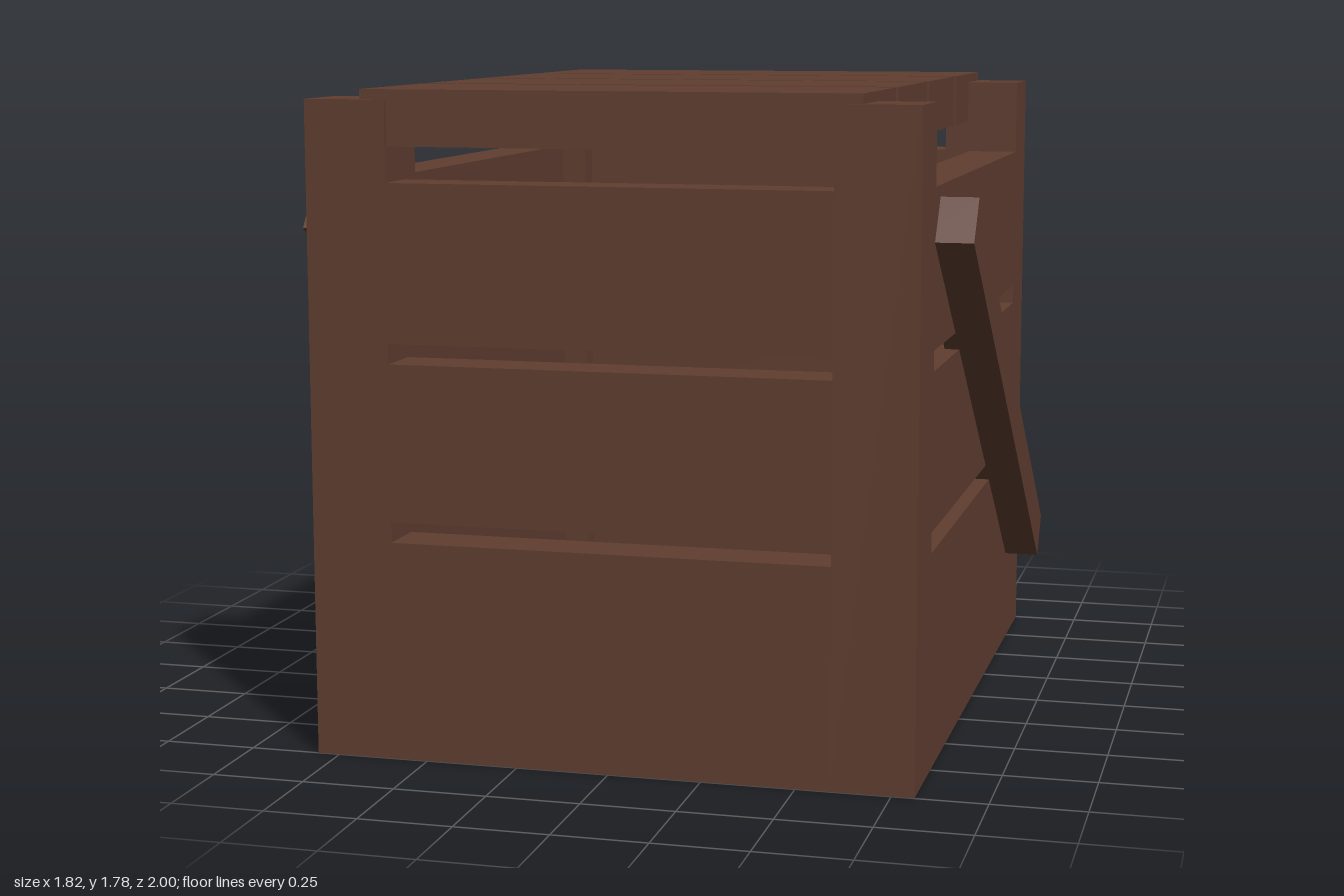
import * as THREE from 'three';

export function createModel() {
  const crate = new THREE.Group();
  crate.name = 'woodenCrate';

  const wood = new THREE.MeshStandardMaterial({ color: 0x603e30 });
  wood.name = 'darkWood';

  const HX = 0.81, HZ = 1;   // half width and half depth of the crate
  const POST = 0.22;         // square corner posts
  const WALL = 0.145;        // plank thickness

  function board(name, w, h, d, x, y, z) {
    const mesh = new THREE.Mesh(new THREE.BoxGeometry(w, h, d), wood);
    mesh.name = name;
    mesh.position.set(x, y, z);
    crate.add(mesh);
    return mesh;
  }

  // Corner posts
  for (const sx of [-1, 1]) {
    for (const sz of [-1, 1]) {
      board('cornerPost', POST, 1.75, POST, sx * (HX - POST / 2), 0.875, sz * (HZ - POST / 2));
    }
  }

  // Three rows of wall planks, flush with the posts, with gaps between
  for (const [y0, y1] of [[0, 0.588], [0.643, 1.063], [1.117, 1.536]]) {
    const h = y1 - y0, y = (y0 + y1) / 2;
    for (const s of [-1, 1]) {
      board(s > 0 ? 'frontPlank' : 'backPlank',
        2 * (HX - POST), h, WALL, 0, y, s * (HZ - WALL / 2));
      board(s > 0 ? 'leftPlank' : 'rightPlank',
        WALL, h, 2 * (HZ - POST), s * (HX - WALL / 2), y, 0);
    }
  }

  // Floor between the walls
  board('floor', 2 * (HX - WALL), 0.15, 2 * (HZ - WALL), 0, 0.075, 0);

  // Four lid slats
  for (let i = 0; i < 4; i++) {
    board('lidSlat', 1.322, 0.147, 0.462, -0.002, 1.7025, 0.002 + (i - 1.5) * 0.501);
  }

  // Diagonal braces on both sides, high at the front
  for (const s of [-1, 1]) {
    const brace = board(s > 0 ? 'leftBrace' : 'rightBrace',
      0.14, 0.138, 1.87, s * 0.84, 0.89, 0);
    brace.rotation.x = -Math.atan2(209.5, 280);
  }

  return crate;
}
